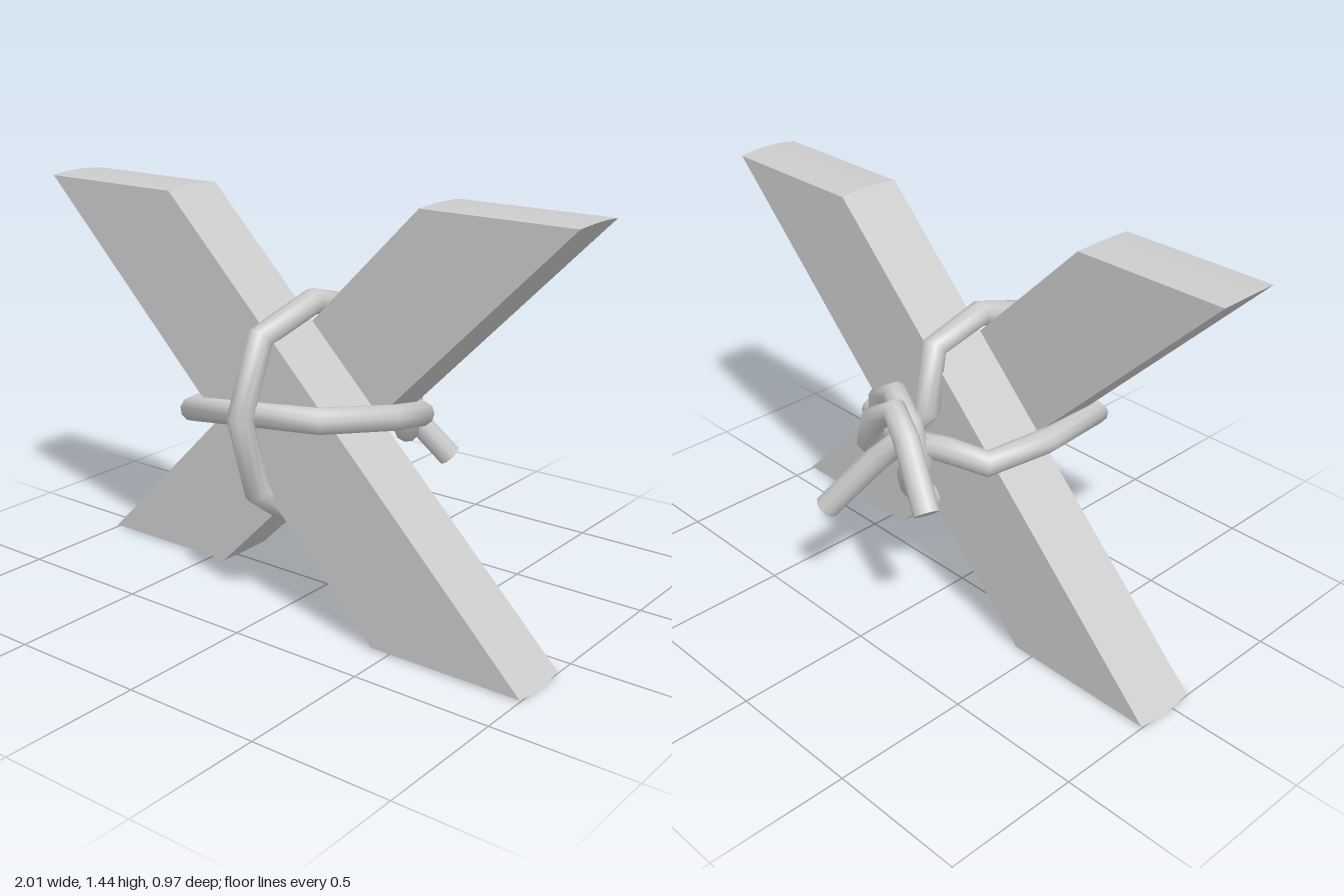
import * as THREE from 'three';

const material = new THREE.MeshStandardMaterial({ color: 0xcccccc });
const V = (p) => new THREE.Vector3(...p);

// Straight rope segments with mitred joints
class RopePath extends THREE.Curve {
  constructor(points) {
    super();
    this.points = points;
  }
  getPoint(t, target = new THREE.Vector3()) {
    const n = this.points.length - 1;
    const i = Math.min(Math.floor(t * n + 1e-6), n - 1);
    return target.lerpVectors(this.points[i], this.points[i + 1], t * n - i);
  }
  getPointAt(t, target) {
    return this.getPoint(t, target);
  }
  getTangentAt(t, target = new THREE.Vector3()) {
    const n = this.points.length - 1;
    const i = Math.round(t * n);
    const dir = (a) => this.points[a + 1].clone().sub(this.points[a]).normalize();
    return target.copy(dir(Math.max(i - 1, 0))).add(dir(Math.min(i, n - 1))).normalize();
  }
}

// Board sheared sideways, with level and slightly crowned ends
function makePlank(name, lean, z) {
  const depth = 0.235;
  const geo = new THREE.BoxGeometry(0.57, 1.43, depth, 1, 1, 6);
  const pos = geo.attributes.position;
  for (let i = 0; i < pos.count; i++) {
    const k = pos.getZ(i) / (depth / 2);
    const y = pos.getY(i) + Math.sign(pos.getY(i)) * 0.007 * (1 - k * k);
    pos.setXYZ(i, pos.getX(i) + lean * y, y, pos.getZ(i));
  }
  geo.computeVertexNormals();
  const plank = new THREE.Mesh(geo, material);
  plank.name = name;
  plank.position.set(0, 0.722, z);
  return plank;
}

function makeRope(radius) {
  const points = [
    // first loose end and the knot
    [-0.27, 0.61, -0.42], [-0.11, 0.80, -0.36], [-0.02, 0.86, -0.33], [0.08, 0.79, -0.34],
    [0.14, 0.67, -0.31], [0.18, 0.57, -0.23], [0.21, 0.66, -0.2], [0.19, 0.78, -0.21],
    [0.08, 0.85, -0.24], [-0.05, 0.80, -0.29], [-0.11, 0.69, -0.3], [-0.03, 0.60, -0.28],
    // upright loop, from underneath, up the front and over
    [0, 0.52, -0.24], [0, 0.44, -0.16], [0, 0.385, 0.08], [-0.02, 0.39, 0.26],
    [-0.03, 0.46, 0.35], [-0.03, 0.74, 0.43], [-0.01, 1.0, 0.345], [0, 1.075, 0.08],
    [0, 1.02, -0.13], [-0.05, 0.83, -0.21],
    // crossing behind the planks into the level loop
    [0.05, 0.71, -0.23], [0.17, 0.66, -0.21], [0.29, 0.67, -0.16], [0.34, 0.73, 0.09],
    [0.26, 0.775, 0.375], [-0.31, 0.70, 0.355], [-0.33, 0.71, 0.08], [-0.31, 0.72, -0.18],
    // back through the knot to the second loose end
    [-0.16, 0.73, -0.23], [0, 0.72, -0.28], [0.08, 0.63, -0.33], [0.22, 0.42, -0.45],
  ].map(V);

  const path = new RopePath(points);
  const rope = new THREE.Group();
  rope.name = 'rope';
  const strand = new THREE.Mesh(
    new THREE.TubeGeometry(path, points.length - 1, radius, 10, false), material);
  strand.name = 'ropeStrand';
  rope.add(strand);

  // discs closing the cut ends
  [[0, -1], [1, 1]].forEach(([t, sign]) => {
    const cap = new THREE.Mesh(new THREE.CircleGeometry(radius, 10), material);
    cap.name = 'ropeEnd';
    cap.position.copy(path.getPointAt(t));
    cap.lookAt(cap.position.clone().addScaledVector(path.getTangentAt(t), sign));
    rope.add(cap);
  });
  return rope;
}

export function createModel() {
  const model = new THREE.Group();
  model.name = 'lashedPlanks';
  model.add(makePlank('frontPlank', -1, 0.2025));
  model.add(makePlank('backPlank', 1, -0.0325));
  model.add(makeRope(0.045));
  return model;
}
